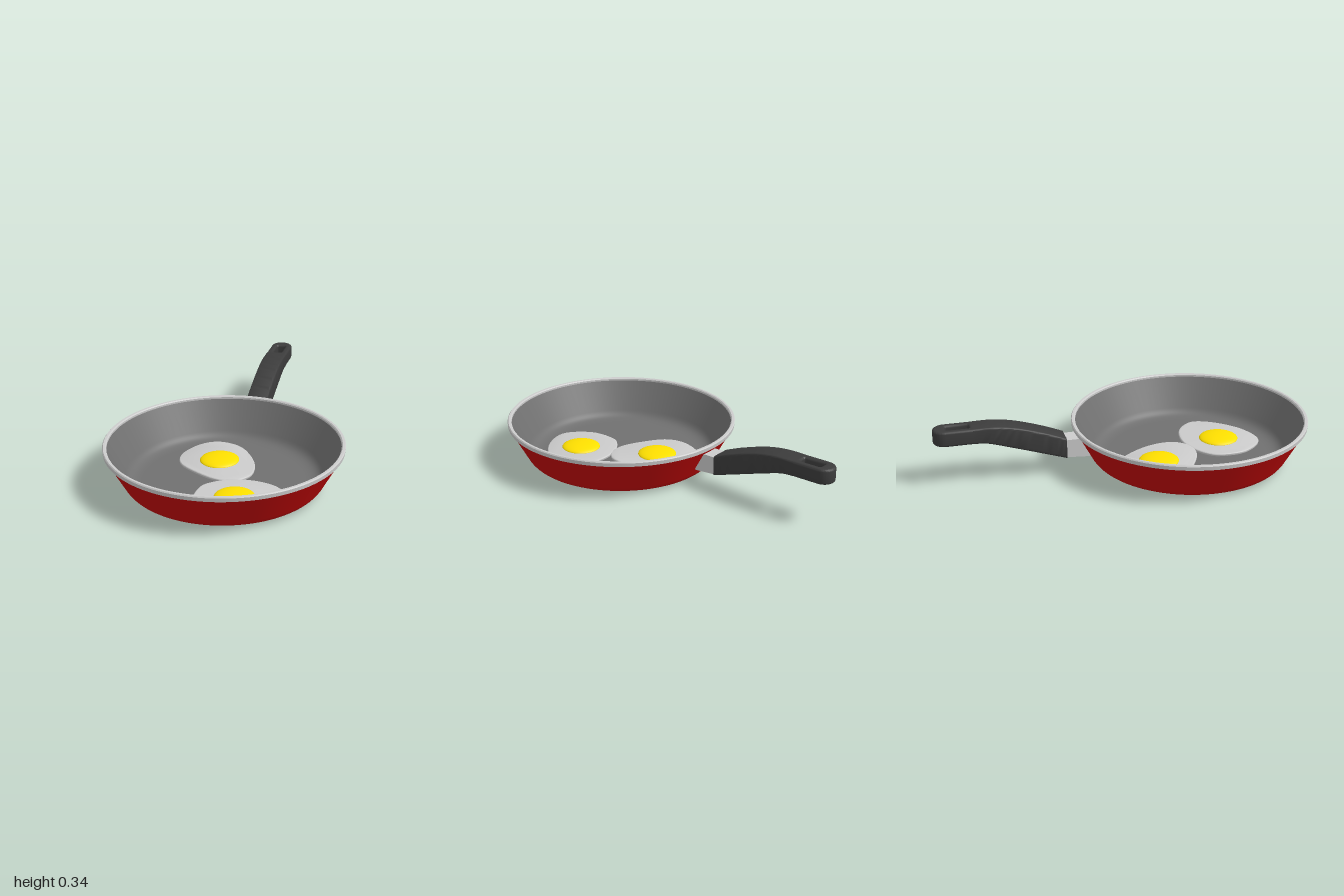
import * as THREE from 'three';
import { toCreasedNormals } from 'three/addons/utils/BufferGeometryUtils.js';

const material = (color) => new THREE.MeshStandardMaterial({ color });
const steel = material(0xcccccc);
const enamel = material(0xc40808);
const coating = material(0x707070);
const grip = material(0x3c3c3c);
const yolkYellow = material(0xffe000);

function addMesh(parent, name, geometry, mat) {
  const mesh = new THREE.Mesh(geometry, mat);
  mesh.name = name;
  parent.add(mesh);
  return mesh;
}

const vec2 = (pairs) => pairs.map(([x, y]) => new THREE.Vector2(x, y));

// Flat plan in (x, z), bevelled all round, occupying bottom..top in y
function slab(shape, bottom, top, bevel) {
  const geometry = new THREE.ExtrudeGeometry(shape, {
    depth: top - bottom - 2 * bevel, bevelThickness: bevel, bevelSize: bevel,
    bevelOffset: -bevel, bevelSegments: 4, curveSegments: 16,
  });
  geometry.rotateX(Math.PI / 2).translate(0, top - bevel, 0);
  return toCreasedNormals(geometry, 0.6);
}

function roundedRect(path, x0, y0, x1, y1, r) {
  path.moveTo(x0 + r, y0);
  path.lineTo(x1 - r, y0).quadraticCurveTo(x1, y0, x1, y0 + r);
  path.lineTo(x1, y1 - r).quadraticCurveTo(x1, y1, x1 - r, y1);
  path.lineTo(x0 + r, y1).quadraticCurveTo(x0, y1, x0, y1 - r);
  path.lineTo(x0, y0 + r).quadraticCurveTo(x0, y0, x0 + r, y0);
  return path;
}

function createPan() {
  const pan = new THREE.Group();
  pan.name = 'pan';

  // Outer shell: flat base, rounded corner, sloping wall
  const outer = new THREE.Path().moveTo(0, 0);
  outer.lineTo(0.47, 0);
  outer.bezierCurveTo(0.53, 0, 0.56, 0.015, 0.583, 0.052);
  outer.lineTo(0.683, 0.235);
  addMesh(pan, 'outerShell', new THREE.LatheGeometry(outer.getPoints(10), 96), enamel);

  // Cooking surface, from the rim down to the floor
  const inner = new THREE.Path().moveTo(0.669, 0.245);
  inner.lineTo(0.572, 0.07);
  inner.bezierCurveTo(0.553, 0.035, 0.53, 0.02, 0.47, 0.02);
  inner.lineTo(0, 0.02);
  addMesh(pan, 'cookingSurface', new THREE.LatheGeometry(inner.getPoints(10), 96), coating);

  // Rim band
  const rim = vec2([[0.668, 0.232], [0.69, 0.232], [0.692, 0.254], [0.687, 0.26],
    [0.674, 0.26], [0.668, 0.254], [0.668, 0.232]]);
  addMesh(pan, 'rim', toCreasedNormals(new THREE.LatheGeometry(rim, 96), 0.5), steel);
  return pan;
}

// Handle built along +z, measured from the pan's centre
function createHandle() {
  const handle = new THREE.Group();
  handle.name = 'handle';
  const half = 0.066, start = 0.745, joint = 1.27, bevel = 0.014;

  // Bracket between wall and grip
  const side = new THREE.Shape(vec2([[0.605, 0.095], [0.76, 0.105], [0.76, 0.21], [0.66, 0.21]]));
  const bracket = new THREE.ExtrudeGeometry(side, { depth: 0.11, bevelEnabled: false });
  bracket.translate(0, 0, -0.055).rotateY(-Math.PI / 2);
  addMesh(handle, 'bracket', bracket, steel);

  // Curved grip: a rounded section swept between a lower and an upper profile
  const lower = new THREE.SplineCurve(vec2([[start, 0.1], [0.867, 0.14], [1.05, 0.2], [1.19, 0.243], [joint, 0.25]]));
  const upper = new THREE.SplineCurve(vec2([[start, 0.222], [0.86, 0.268], [1.02, 0.318], [1.15, 0.339], [joint, 0.34]]));
  const section = roundedRect(new THREE.Shape(), -half, 0, half, 1, bevel);
  // The corner radius is given in x units, so stretch it to match in y
  const steps = 28;
  const body = new THREE.ExtrudeGeometry(section, { depth: 1, steps, bevelEnabled: false, curveSegments: 4 });
  const p = body.attributes.position;
  const stretch = (v) => (v < bevel ? v * 9 : v > 1 - bevel ? 1 - (1 - v) * 9 : v);
  for (let i = 0; i < p.count; i++) {
    const a = lower.getPoint(p.getZ(i)), b = upper.getPoint(p.getZ(i));
    const v = stretch(Math.min(1, Math.max(0, p.getY(i) + (p.getY(i) < 0.5 ? -1e-6 : 1e-6))));
    const k = Math.abs(p.getY(i) - bevel) < 1e-5 ? bevel * 9 : Math.abs(p.getY(i) - 1 + bevel) < 1e-5 ? 1 - bevel * 9 : v;
    p.setXYZ(i, p.getX(i), a.y + (b.y - a.y) * k, a.x + (b.x - a.x) * k);
  }
  addMesh(handle, 'gripBody', toCreasedNormals(body, 0.6), grip);

  // Rounded tip with a hanging hole
  const tip = new THREE.Shape().moveTo(-half, joint - 0.02);
  tip.lineTo(half, joint - 0.02);
  tip.lineTo(half, 1.424);
  tip.absarc(0, 1.424, half, 0, Math.PI, false);
  tip.closePath();
  tip.holes.push(roundedRect(new THREE.Path(), -0.027, 1.288, 0.027, 1.418, 0.012));
  addMesh(handle, 'gripTip', slab(tip, 0.25, 0.34, bevel), grip);

  handle.rotation.y = Math.PI + 0.517;
  return handle;
}

// Fried egg: outline points are offsets from the yolk
function createEgg(x, z, outline) {
  const egg = new THREE.Group();
  egg.name = 'friedEgg';
  const curve = new THREE.CatmullRomCurve3(
    outline.map(([a, b]) => new THREE.Vector3(a, b, 0)), true, 'centripetal');
  const shape = new THREE.Shape(curve.getPoints(72).slice(0, -1).map((q) => new THREE.Vector2(q.x, q.y)));
  addMesh(egg, 'eggWhite', slab(shape, 0.018, 0.036, 0.007), steel);

  const dome = new THREE.SphereGeometry(0.117, 40, 12, 0, Math.PI * 2, 0, Math.PI / 2);
  const yolk = addMesh(egg, 'yolk', dome, yolkYellow);
  yolk.scale.y = 0.22;
  yolk.position.y = 0.035;
  egg.position.set(x, 0, z);
  return egg;
}

export function createModel() {
  const model = new THREE.Group();
  model.name = 'fryingPanWithEggs';

  const body = new THREE.Group();
  body.name = 'fryingPan';
  body.add(createPan(), createHandle());
  body.position.set(0.037, 0, 0.306);
  model.add(body);

  model.add(createEgg(-0.145, 0.17, [
    [-0.243, -0.08], [-0.19, -0.18], [-0.055, -0.222], [0.106, -0.165], [0.225, -0.07], [0.277, 0.03],
    [0.255, 0.125], [0.175, 0.187], [0.016, 0.207], [-0.143, 0.185], [-0.225, 0.095]]));
  model.add(createEgg(0.255, 0.445, [
    [0.08, -0.258], [0.2, -0.212], [0.228, -0.1], [0.175, 0.11], [0.042, 0.24],
    [-0.14, 0.19], [-0.233, 0.04], [-0.228, -0.03], [-0.17, -0.14], [-0.063, -0.222]]));
  return model;
}
